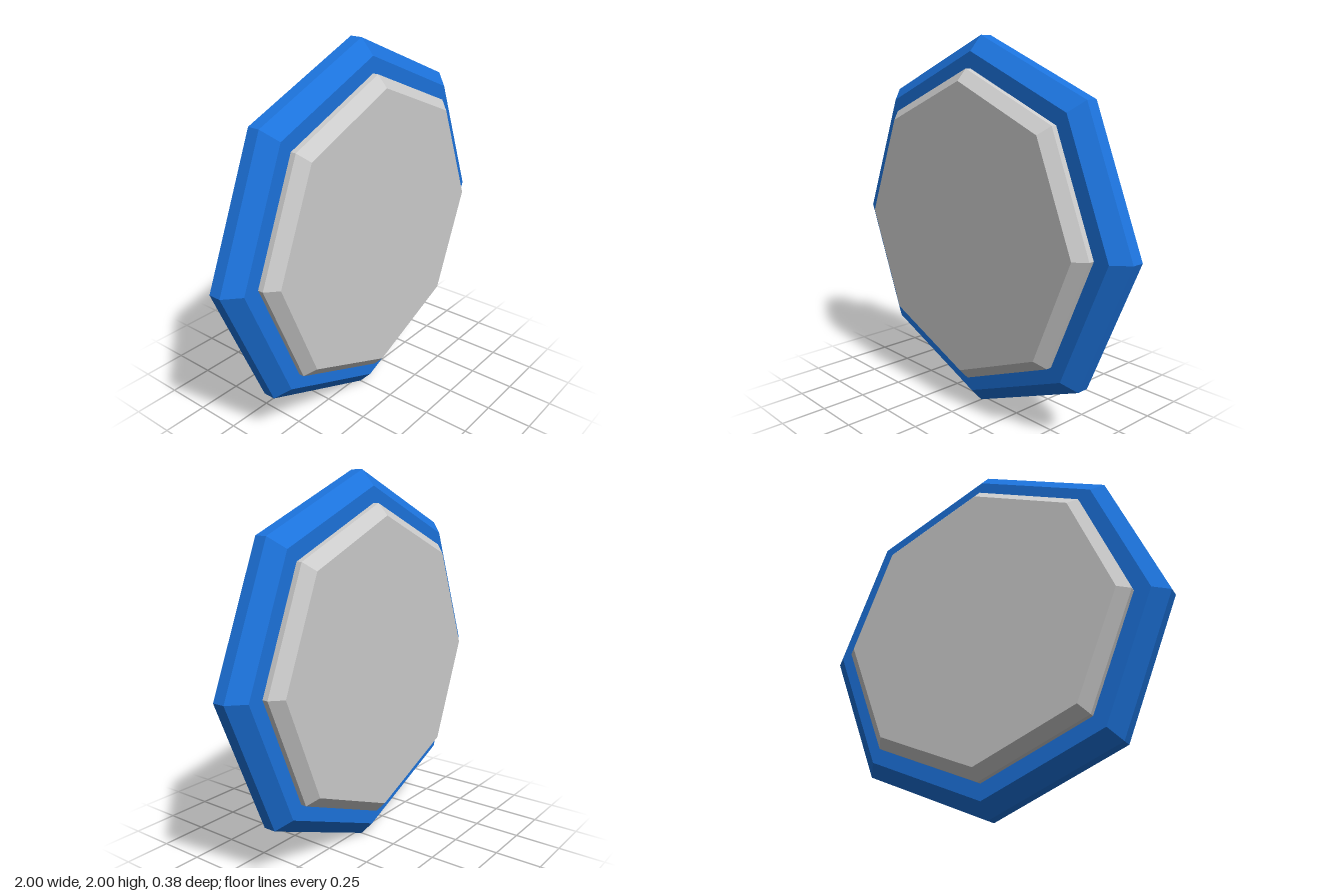
import * as THREE from 'three';

const SIDES = 8;

// Eight-sided solid turned around the z axis from [radius, z] pairs, back to front
function octagon(name, profile, color) {
  const points = profile.map(([r, z]) => new THREE.Vector2(r, z));
  const geometry = new THREE.LatheGeometry(points, SIDES).toNonIndexed();
  geometry.rotateX(Math.PI / 2);
  geometry.computeVertexNormals();
  const mesh = new THREE.Mesh(geometry, new THREE.MeshStandardMaterial({ color, flatShading: true }));
  mesh.name = name;
  mesh.position.y = 1;
  return mesh;
}

// Half profile for z >= 0, mirrored to the back
function mirrored(half) {
  const back = half.map(([r, z]) => [r, -z]).reverse();
  return [...back, ...half];
}

export function createModel() {
  const group = new THREE.Group();
  group.name = 'octagonalDisc';

  // Bevelled outer rim
  group.add(octagon('rim', mirrored([[1, 0.033], [0.92, 0.105], [0, 0.105]]), 0x1c73dc));

  // Thicker bevelled core, standing proud of the rim on both faces
  group.add(octagon('core', mirrored([[0.835, 0.135], [0.775, 0.19], [0, 0.19]]), 0xcccccc));

  return group;
}
